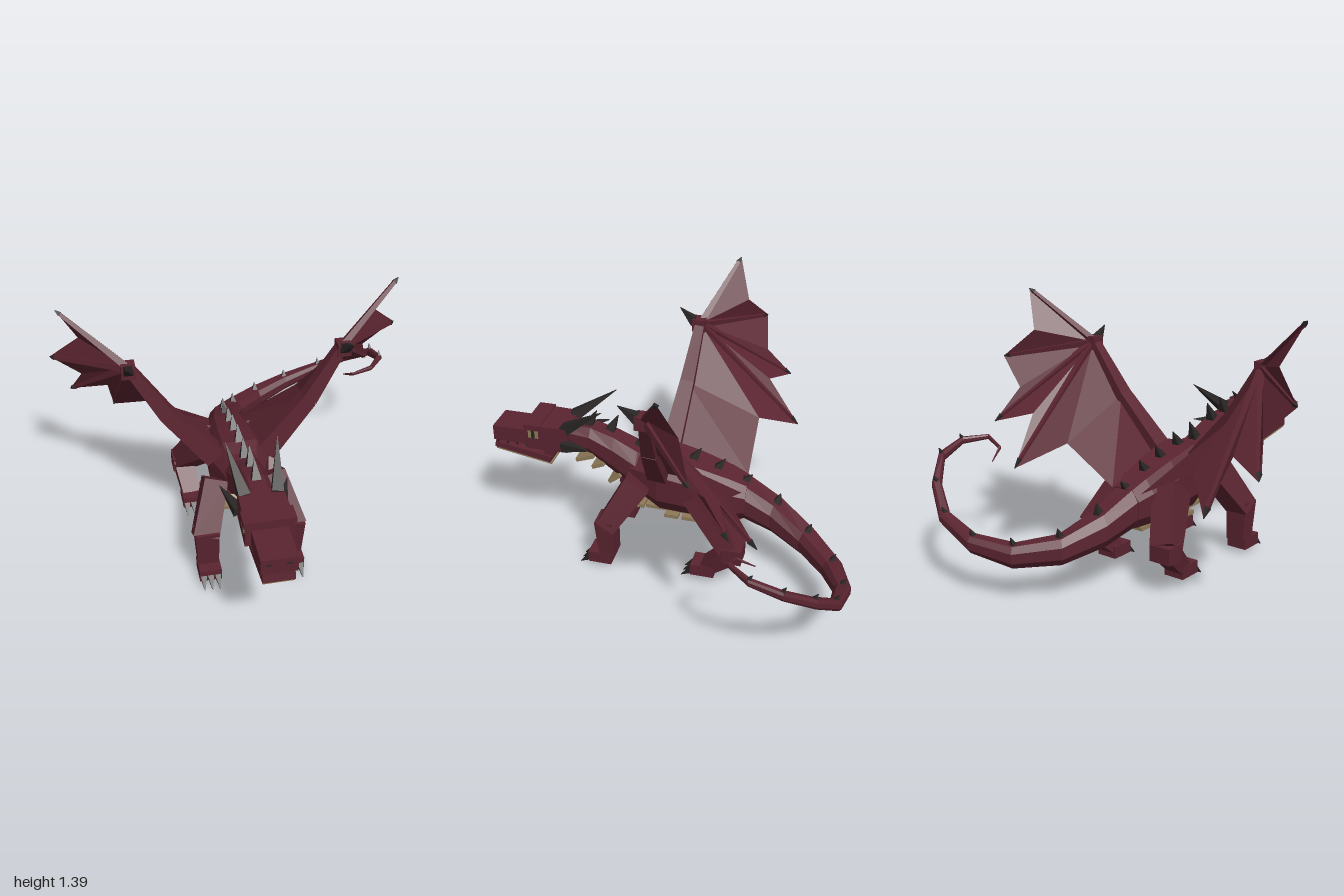
import * as THREE from 'three';

const hide = new THREE.MeshStandardMaterial({ color: 0x5a2430, side: THREE.DoubleSide });
hide.name = 'dark red hide';
const horn = new THREE.MeshStandardMaterial({ color: 0x2a2625 });
horn.name = 'black horn';
const belly = new THREE.MeshStandardMaterial({ color: 0x8f7a58 });
belly.name = 'tan belly';

const V = (p) => new THREE.Vector3(...p);

// Every mesh gets faceted normals
function mesh(geo, mat, name) {
  const g = geo.index ? geo.toNonIndexed() : geo;
  g.computeVertexNormals();
  const m = new THREE.Mesh(g, mat);
  m.name = name;
  return m;
}

function box(name, mat, size, pos, rx = 0) {
  const m = mesh(new THREE.BoxGeometry(...size), mat, name);
  m.position.set(...pos);
  m.rotation.x = rx;
  return m;
}

// Tapered box from a to b, s0 and s1 are [width, depth] at the ends
function bar(name, mat, a, b, s0, s1 = s0) {
  const A = V(a), B = V(b), y = B.clone().sub(A), len = y.length();
  y.normalize();
  const x = new THREE.Vector3(1, 0, 0);
  x.addScaledVector(y, -x.dot(y)).normalize();
  const z = x.clone().cross(y);
  const g = new THREE.BoxGeometry(1, len, 1), p = g.attributes.position;
  for (let i = 0; i < p.count; i++) {
    const s = p.getY(i) > 0 ? s1 : s0;
    p.setX(i, p.getX(i) * s[0]);
    p.setZ(i, p.getZ(i) * s[1]);
  }
  g.applyMatrix4(new THREE.Matrix4().makeBasis(x, y, z).setPosition(A.add(B).multiplyScalar(0.5)));
  return mesh(g, mat, name);
}

const spike = (name, a, b, w, mat = horn) => bar(name, mat, a, b, [w, w], [0.003, 0.003]);

// Chamfered eight-sided skin through upright sections [x, y, z, halfWidth, halfHeight]
const RING = [[1, -0.45], [1, 0.45], [0.58, 1], [-0.58, 1], [-1, 0.45], [-1, -0.45], [-0.58, -1], [0.58, -1]];
function loft(name, sections) {
  const pos = [], idx = [], n = RING.length, last = sections.length - 1;
  sections.forEach(([x, y, z, w, h], i) => {
    const a = sections[Math.max(i - 1, 0)], b = sections[Math.min(i + 1, last)];
    const t = new THREE.Vector3(b[0] - a[0], 0, b[2] - a[2]).normalize();
    for (const [u, v] of RING) pos.push(x + t.z * u * w, y + v * h, z - t.x * u * w);
  });
  for (let i = 0; i < last; i++) {
    for (let j = 0; j < n; j++) {
      const a = i * n + j, b = i * n + (j + 1) % n;
      idx.push(a, b, b + n, a, b + n, a + n);
    }
  }
  for (let j = 1; j < n - 1; j++) idx.push(0, j + 1, j, last * n, last * n + j, last * n + j + 1);
  const g = new THREE.BufferGeometry();
  g.setAttribute('position', new THREE.Float32BufferAttribute(pos, 3));
  g.setIndex(idx);
  return mesh(g, hide, name);
}

const TAIL = [
  [0, 0.41, -0.38, 0.093, 0.1], [0.025, 0.34, -0.55, 0.078, 0.083], [0.115, 0.268, -0.73, 0.064, 0.066],
  [0.28, 0.245, -0.88, 0.054, 0.055], [0.48, 0.283, -0.955, 0.042, 0.042], [0.69, 0.365, -0.945, 0.03, 0.032],
  [0.84, 0.48, -0.86, 0.024, 0.028], [0.945, 0.58, -0.73, 0.018, 0.024], [0.953, 0.63, -0.58, 0.015, 0.018],
  [0.87, 0.64, -0.47, 0.011, 0.012], [0.77, 0.6, -0.485, 0.007, 0.009], [0.74, 0.55, -0.57, 0.002, 0.003]];

function buildBody() {
  const g = new THREE.Group();
  g.name = 'body';
  g.add(loft('neck', [
    [0, 0.66, 0.6, 0.07, 0.065], [0, 0.645, 0.46, 0.075, 0.078], [0, 0.58, 0.33, 0.085, 0.105],
    [0, 0.51, 0.2, 0.1, 0.115], [0, 0.48, 0.06, 0.11, 0.14]]));
  g.add(loft('torso', [
    [0, 0.5, 0.23, 0.1, 0.1], [0, 0.478, 0.07, 0.155, 0.165], [0, 0.45, -0.12, 0.145, 0.15],
    [0, 0.425, -0.3, 0.12, 0.122], [0, 0.41, -0.39, 0.095, 0.1]]));
  g.add(loft('tail', TAIL));
  // Spine and tail spikes
  const spine = [[0.46, 0.72, 0.09], [0.34, 0.71, 0.09], [0.18, 0.64, 0.09], [0.035, 0.63, 0.08],
    [-0.11, 0.595, 0.075], [-0.24, 0.555, 0.07], [-0.385, 0.5, 0.05]];
  for (const [z, y, h] of spine) g.add(spike('spineSpike', [0, y, z + 0.02], [0, y + h, z - 0.025], 0.048));
  TAIL.slice(1, 9).forEach(([x, y, z, w, h]) =>
    g.add(spike('tailSpike', [x, y + h - 0.005, z], [x, y + h + 0.012 + h * 0.5, z - 0.015], 0.012 + h * 0.36)));
  // Throat and belly plates
  const plates = [[0.49, 0.545, 0.145, 0.105, 0.35], [0.415, 0.515, 0.16, 0.07, 0.4], [0.32, 0.455, 0.18, 0.08, 0.65],
    [0.18, 0.327, 0.235, 0.06, 0], [0, 0.288, 0.235, 0.075, 0], [-0.095, 0.288, 0.235, 0.075, 0], [-0.19, 0.288, 0.235, 0.075, 0]];
  for (const [z, y, w, d, r] of plates) g.add(box('bellyPlate', belly, [w, 0.02, d], [0, y, z], r));
  g.add(box('bellySkin', belly, [0.16, 0.02, 0.5], [0, 0.303, -0.1], -0.02));
  return g;
}

function buildHead() {
  const g = new THREE.Group();
  g.name = 'head';
  g.add(bar('skull', hide, [0, 0.66, 0.57], [0, 0.66, 0.795], [0.22, 0.14], [0.235, 0.14]));
  g.add(box('brow', hide, [0.25, 0.03, 0.09], [0, 0.722, 0.76]));
  g.add(box('snout', hide, [0.175, 0.085, 0.21], [0, 0.638, 0.893]));
  // Lower jaw with tan underside
  g.add(box('jaw', hide, [0.155, 0.035, 0.32], [0, 0.535, 0.84], -0.17));
  g.add(box('jawUnderside', belly, [0.15, 0.012, 0.318], [0, 0.512, 0.836], -0.17));
  g.add(bar('jawHinge', hide, [0, 0.525, 0.7], [0, 0.62, 0.66], [0.13, 0.06]));
  for (const s of [-1, 1]) {
    g.add(spike('hornLarge', [s * 0.08, 0.715, 0.59], [s * 0.128, 0.875, 0.365], 0.058));
    g.add(spike('hornSide', [s * 0.105, 0.63, 0.59], [s * 0.168, 0.66, 0.425], 0.055));
    g.add(box('eye', belly, [0.008, 0.045, 0.055], [s * 0.1175, 0.682, 0.755]));
    g.add(box('pupil', horn, [0.006, 0.045, 0.018], [s * 0.121, 0.682, 0.755]));
    g.add(box('nostril', horn, [0.03, 0.008, 0.005], [s * 0.048, 0.65, 0.998]));
    for (let i = 0; i < 4; i++) {
      const z = 0.98 - i * 0.055;
      g.add(spike('tooth', [s * 0.075, 0.597, z], [s * 0.075, 0.572, z], 0.016));
    }
  }
  return g;
}

function foot(g, x, y, z) {
  g.add(box('foot', hide, [0.115, 0.065, 0.125], [x, y, z]));
  for (const d of [-0.037, 0, 0.037])
    g.add(spike('claw', [x + d, y - 0.01, z + 0.055], [x + d * 1.1, y - 0.055, z + 0.115], 0.032));
}

function buildLegs(s) {
  const front = new THREE.Group(), hind = new THREE.Group();
  front.name = 'frontLeg';
  hind.name = 'hindLeg';
  front.add(bar('upperArm', hide, [s * 0.15, 0.5, 0.17], [s * 0.23, 0.255, 0.325], [0.12, 0.14], [0.135, 0.105]));
  front.add(bar('forearm', hide, [s * 0.225, 0.3, 0.325], [s * 0.22, 0.075, 0.315], [0.125, 0.1], [0.105, 0.085]));
  foot(front, s * 0.22, 0.06, 0.355);
  hind.add(bar('thigh', hide, [s * 0.13, 0.48, -0.17], [s * 0.24, 0.24, -0.36], [0.12, 0.19], [0.125, 0.11]));
  hind.add(box('knee', hide, [0.12, 0.085, 0.1], [s * 0.245, 0.225, -0.37]));
  hind.add(bar('shin', hide, [s * 0.245, 0.22, -0.36], [s * 0.22, 0.09, -0.225], [0.11, 0.1], [0.1, 0.075]));
  foot(hind, s * 0.22, 0.085, -0.21);
  return [front, hind];
}

function buildWing(s) {
  const g = new THREE.Group();
  g.name = s > 0 ? 'leftWing' : 'rightWing';
  const P = (x, y, z) => [s * x, y, z];
  const root = P(0.13, 0.57, 0.06), elbow = P(0.365, 0.845, 0.035), wrist = P(0.535, 1.12, 0.01);
  g.add(bar('wingUpperArm', hide, root, elbow, [0.11, 0.1], [0.08, 0.075]));
  g.add(bar('wingForearm', hide, elbow, wrist, [0.08, 0.075], [0.05, 0.05]));
  g.add(box('wingWrist', hide, [0.07, 0.07, 0.07], P(0.54, 1.115, 0.015)));
  g.add(spike('wingThumb', P(0.54, 1.125, 0.04), P(0.56, 1.19, 0.13), 0.05));
  // Finger bones with dark tips
  const tips = [P(0.855, 1.395, -0.14), P(0.91, 1.045, -0.295), P(0.825, 0.73, -0.46), P(0.597, 0.535, -0.55)];
  for (const t of tips) {
    const at = (k) => V(wrist).lerp(V(t), k).toArray();
    g.add(bar('wingFinger', hide, wrist, at(0.95), [0.035, 0.035], [0.018, 0.018]));
    g.add(spike('fingerClaw', at(0.93), t, 0.024));
  }
  // Membrane fans from the wrist, then from the elbow down to the flank
  const notches = [P(0.76, 1.19, -0.21), P(0.76, 0.9, -0.33), P(0.63, 0.785, -0.37), P(0.4, 0.66, -0.36)];
  const rim = tips.flatMap((t, i) => [t, notches[i]]);
  const flank = [P(0.09, 0.49, -0.37), root];
  const pos = [];
  for (let i = 0; i < rim.length - 1; i++) pos.push(...wrist, ...rim[i], ...rim[i + 1]);
  const inner = [wrist, notches[3], ...flank];
  for (let i = 0; i < 3; i++) pos.push(...elbow, ...inner[i], ...inner[i + 1]);
  const geo = new THREE.BufferGeometry();
  geo.setAttribute('position', new THREE.Float32BufferAttribute(s > 0 ? pos : pos.slice(), 3));
  g.add(mesh(geo, hide, 'wingMembrane'));
  return g;
}

export function createModel() {
  const model = new THREE.Group();
  model.name = 'dragon';
  model.add(buildBody(), buildHead());
  for (const s of [-1, 1]) model.add(...buildLegs(s), buildWing(s));
  // The curled tail sets the body slightly off centre
  for (const part of model.children) part.position.x = -0.03;
  return model;
}
